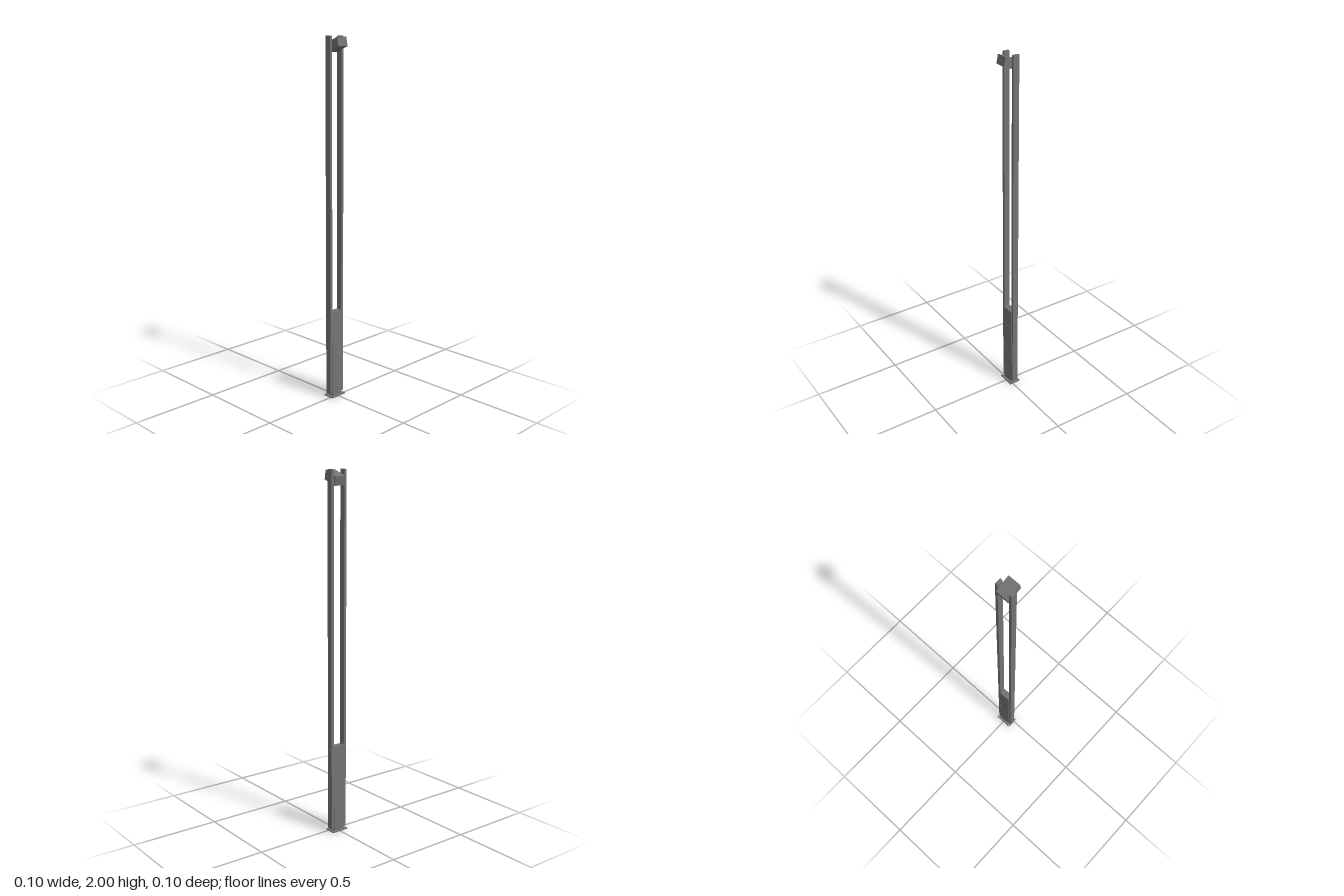
import * as THREE from 'three';

const Z = -0.0155; // depth of the post axis

export function createModel() {
  const group = new THREE.Group();
  const darkGrey = new THREE.MeshStandardMaterial({ color: 0x737373, flatShading: true });

  const add = (name, geometry, x = 0, y = 0, z = 0) => {
    const mesh = new THREE.Mesh(geometry, darkGrey);
    mesh.name = name;
    mesh.position.set(x, y, z);
    group.add(mesh);
  };
  const extrude = (shape, depth) =>
    new THREE.ExtrudeGeometry(shape, { depth, bevelEnabled: false, curveSegments: 16 });

  // Base plate with four bolt holes
  const plate = new THREE.Shape();
  plate.moveTo(-0.05, -0.033).lineTo(0.05, -0.033).lineTo(0.05, 0.033).lineTo(-0.05, 0.033).closePath();
  for (const sx of [-1, 1]) {
    for (const sz of [-1, 1]) {
      plate.holes.push(new THREE.Path().absarc(sx * 0.0425, sz * 0.024, 0.0035, 0, Math.PI * 2, true));
    }
  }
  add('basePlate', extrude(plate, 0.006).rotateX(-Math.PI / 2), 0, 0, Z);

  // Lower housing, set between the posts with a narrow shadow gap
  add('lowerHousing', new THREE.BoxGeometry(0.066, 0.496, 0.036), 0, 0.254, Z);

  // Arched service door and its lock on the front of the housing
  const door = new THREE.Shape();
  door.moveTo(-0.029, 0.03).lineTo(0.029, 0.03).lineTo(0.029, 0.361);
  door.absarc(0, 0.361, 0.029, 0, Math.PI, false);
  door.closePath();
  add('serviceDoor', extrude(door, 0.0015), 0, 0, Z + 0.018);
  add('doorLock', new THREE.CylinderGeometry(0.003, 0.003, 0.002, 16).rotateX(Math.PI / 2), 0.021, 0.2, Z + 0.02);

  // Tall side posts, each with a small screw on the outer face
  for (const s of [-1, 1]) {
    const side = s > 0 ? 'left' : 'right';
    add(side + 'Post', new THREE.BoxGeometry(0.015, 1.982, 0.034), s * 0.0422, 1.009, Z);
    add(side + 'Screw', new THREE.CylinderGeometry(0.002, 0.002, 0.002, 12).rotateZ(Math.PI / 2), s * 0.0502, 1.95, Z);
  }

  // Tilted lamp head: side profile in (z, y), extruded across x
  const head = new THREE.Shape([
    [0.038, 1.995], [-0.045, 1.963], [-0.035, 1.915], [0.047, 1.947],
  ].map(([z, y]) => new THREE.Vector2(-z, y)));
  add('lampHead', extrude(head, 0.067).translate(0, 0, -0.0335).rotateY(Math.PI / 2));

  return group;
}
